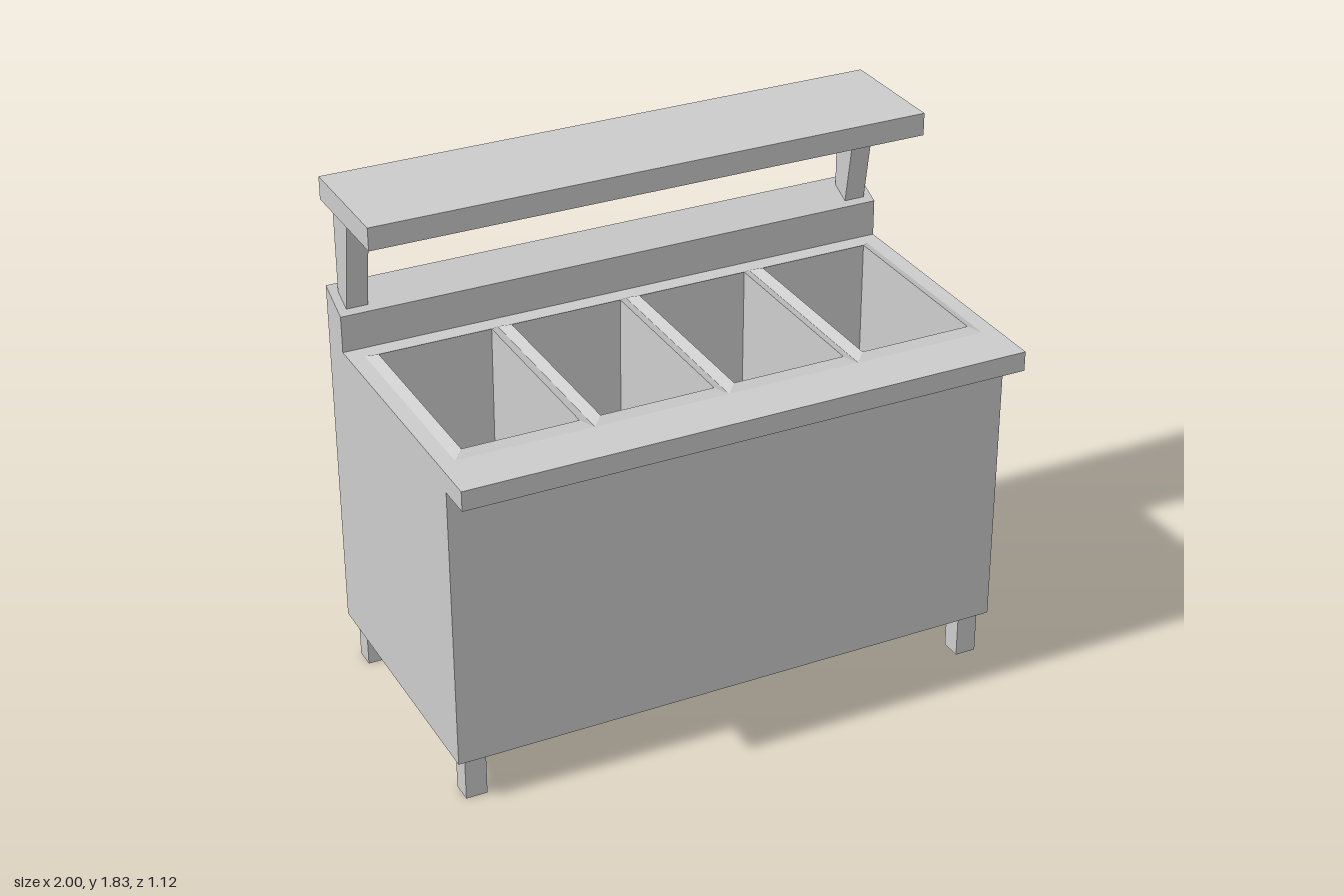
import * as THREE from 'three';

const material = new THREE.MeshStandardMaterial({ color: 0xcccccc, flatShading: true, side: THREE.DoubleSide });

export function createModel() {
  const model = new THREE.Group();

  const add = (name, geometry) => {
    const mesh = new THREE.Mesh(geometry, material);
    mesh.name = name;
    model.add(mesh);
    return mesh;
  };

  // Box given by its limits on each axis
  const box = (name, x0, x1, y0, y1, z0, z1) =>
    add(name, new THREE.BoxGeometry(x1 - x0, y1 - y0, z1 - z0)
      .translate((x0 + x1) / 2, (y0 + y1) / 2, (z0 + z1) / 2));

  // Side profile of [z, y] points, extruded along x around a centre
  const profile = (name, points, width, x) => {
    const shape = new THREE.Shape(points.map(([z, y]) => new THREE.Vector2(z, y)));
    const geometry = new THREE.ExtrudeGeometry(shape, { depth: width, bevelEnabled: false });
    return add(name, geometry.translate(0, 0, -width / 2).rotateY(-Math.PI / 2).translate(x, 0, 0));
  };

  // Rectangle in plan, with its corners running anticlockwise
  const rect = (x0, x1, z0, z1) => [[x0, -z1], [x1, -z1], [x1, -z0], [x0, -z0]]
    .map(([x, y]) => new THREE.Vector2(x, y));

  // Slab in plan with rectangular openings
  const slab = (name, outline, openings, y0, y1) => {
    const shape = new THREE.Shape(outline);
    openings.forEach((o) => shape.holes.push(new THREE.Path(o)));
    const geometry = new THREE.ExtrudeGeometry(shape, { depth: y1 - y0, bevelEnabled: false });
    return add(name, geometry.rotateX(-Math.PI / 2).translate(0, y0, 0));
  };

  // Tapered pan: rectangular loops [half width, half depth, y] from outer rim to floor
  const panGeometry = () => {
    const loops = [[0.236, 0.38, 1.25], [0.2, 0.345, 1.265], [0.19, 0.33, 0.75], [0, 0, 0.75]];
    const positions = [];
    const indices = [];
    for (const [hx, hz, y] of loops) {
      positions.push(-hx, y, hz, hx, y, hz, hx, y, -hz, -hx, y, -hz);
    }
    for (let l = 0; l < loops.length - 1; l++) {
      for (let i = 0; i < 4; i++) {
        const a = l * 4 + i;
        const b = l * 4 + ((i + 1) % 4);
        indices.push(a, b, b + 4, a, b + 4, a + 4);
      }
    }
    const geometry = new THREE.BufferGeometry();
    geometry.setAttribute('position', new THREE.Float32BufferAttribute(positions, 3));
    geometry.setIndex(indices);
    const flat = geometry.toNonIndexed();
    flat.computeVertexNormals();
    return flat;
  };

  // Cabinet: floor and hollow walls
  box('cabinetFloor', -1, 1, 0.16, 0.19, -0.56, 0.435);
  slab('cabinetWalls', rect(-1, 1, -0.56, 0.435), [rect(-0.97, 0.97, -0.53, 0.405)], 0.19, 1.18);

  // Worktop with front overhang and four pan openings
  const panCentres = [-1.5, -0.5, 0.5, 1.5].map((i) => i * 0.4725);
  slab('worktop', rect(-1, 1, -0.435, 0.56),
    panCentres.map((x) => rect(x - 0.215, x + 0.215, -0.36, 0.36)), 1.18, 1.25);
  for (const x of panCentres) add('pan', panGeometry()).position.x = x;

  // Sloped upstand along the back
  profile('upstand', [[-0.56, 1.18], [-0.435, 1.18], [-0.435, 1.38], [-0.56, 1.44]], 2, 0);

  // Overhead shelf
  box('shelf', -1, 1, 1.75, 1.83, -0.56, -0.13);

  // Shelf posts and feet, mirrored left and right
  for (const side of [-1, 1]) {
    const x = side * 0.9325;
    profile('shelfPost', [[-0.53, 1.42], [-0.46, 1.388], [-0.4, 1.75], [-0.53, 1.75]], 0.075, x);
    for (const z of [0.375, -0.4975]) {
      box('foot', x - 0.0375, x + 0.0375, 0, 0.16, z - 0.0375, z + 0.0375);
    }
  }
  return model;
}
